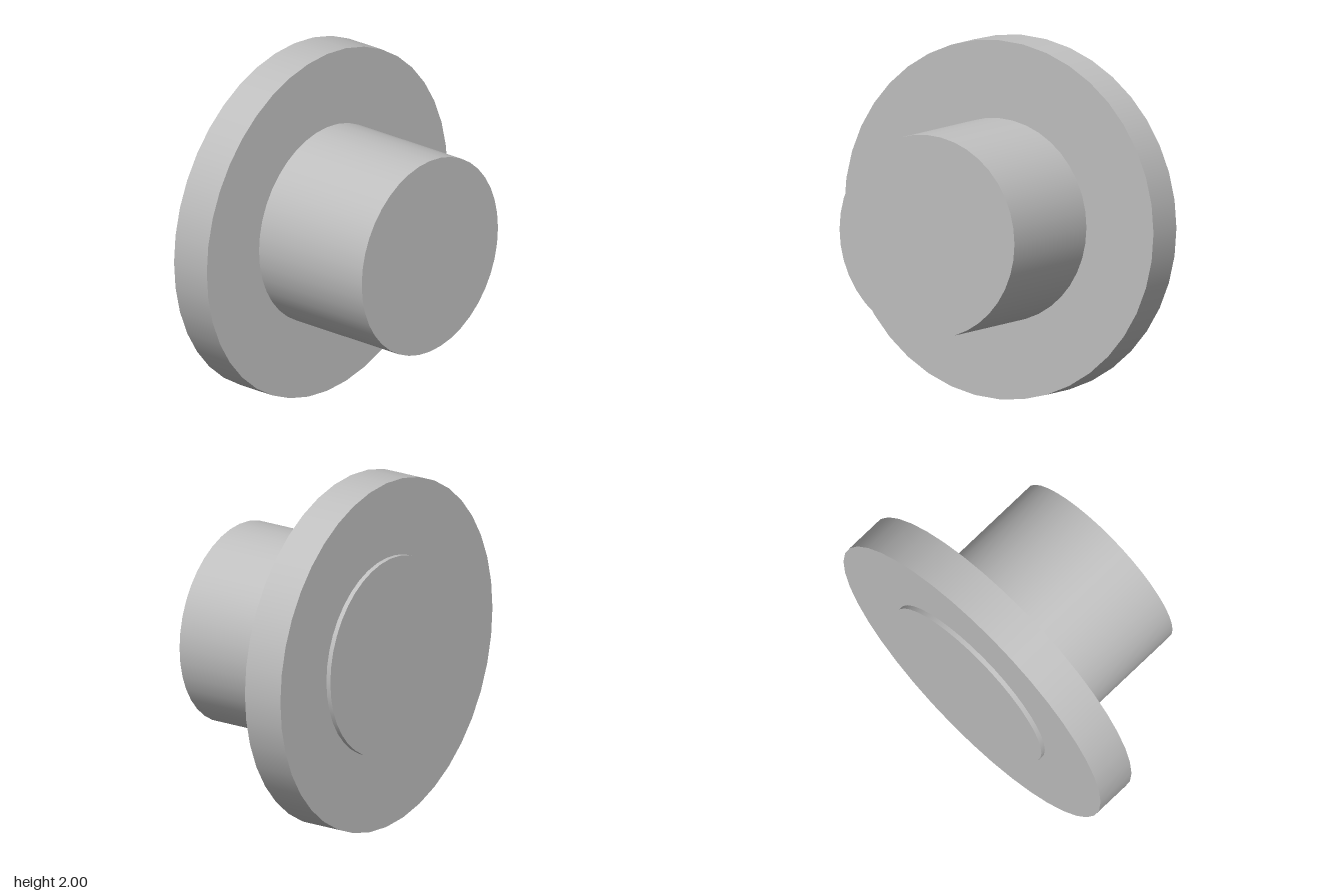
import * as THREE from 'three';

export function createModel() {
  const group = new THREE.Group();
  const grey = new THREE.MeshStandardMaterial({ color: 0xc0c0c0 });
  grey.name = 'plain grey';

  // Solid disc or shaft along z, from zBack to zFront
  function addDisc(name, radius, zBack, zFront) {
    const geometry = new THREE.CylinderGeometry(radius, radius, zFront - zBack, 40);
    geometry.rotateX(Math.PI / 2);
    const mesh = new THREE.Mesh(geometry, grey);
    mesh.name = name;
    mesh.position.set(0, 1, (zFront + zBack) / 2);
    group.add(mesh);
  }

  // Shaft runs through the flange and stands slightly proud at the back
  addDisc('shaft', 0.566, -0.512, 0.512);
  addDisc('flange', 1, -0.485, -0.244);

  return group;
}
